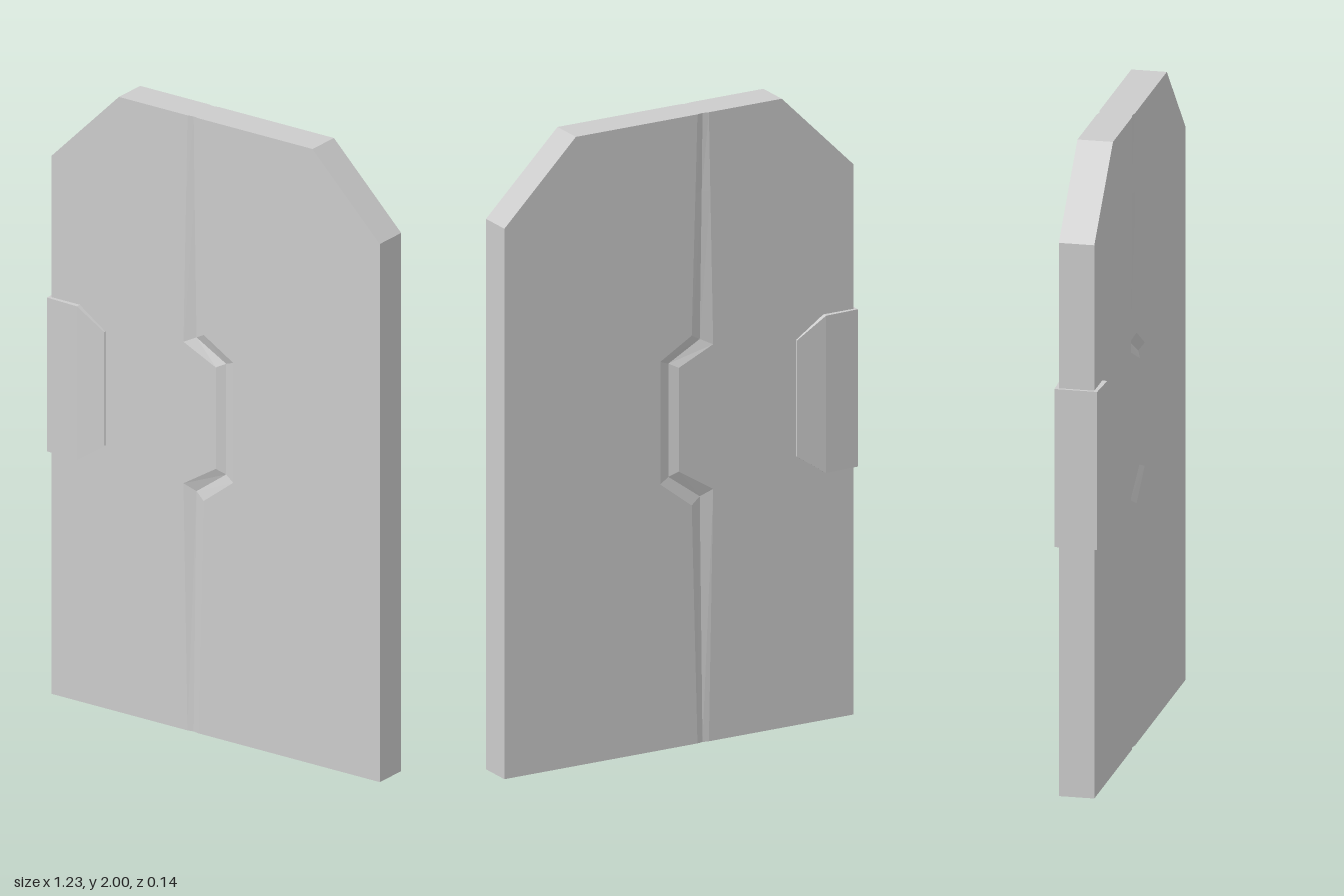
import * as THREE from 'three';

const material = new THREE.MeshStandardMaterial({ color: 0xcccccc, flatShading: true });

// Segmented box whose grid vertices are placed by place(column, row, side), side = +1 front / -1 back
function shapedBox(name, columns, rows, place) {
  const geometry = new THREE.BoxGeometry(1, 1, 1, columns, rows, 1);
  const p = geometry.attributes.position;
  for (let i = 0; i < p.count; i++) {
    const column = Math.round((p.getX(i) + 0.5) * columns);
    const row = Math.round((p.getY(i) + 0.5) * rows);
    p.setXYZ(i, ...place(column, row, Math.sign(p.getZ(i))));
  }
  const flat = geometry.toNonIndexed();
  flat.computeVertexNormals();
  const mesh = new THREE.Mesh(flat, material);
  mesh.name = name;
  return mesh;
}

export function createModel() {
  const group = new THREE.Group();
  group.name = 'door';
  const halfDepth = 0.055;

  // Slab with clipped top corners; each row runs bottom to top
  const outerX = [0.61, 0.61, 0.61, 0.61, 0.61, 0.61, 0.36];
  const outerY = [0, 0.77, 0.85, 1.22, 1.29, 1.75, 2];
  // Shallow V groove with a sideways jog: [x, y] of left edge, valley and right edge
  const groove = [
    [[-0.105, 0], [-0.085, 0], [-0.065, 0]],
    [[-0.12, 0.80], [-0.08, 0.78], [-0.045, 0.76]],
    [[0.0, 0.875], [0.03, 0.86], [0.065, 0.845]],
    [[0.0, 1.205], [0.03, 1.22], [0.065, 1.235]],
    [[-0.12, 1.26], [-0.08, 1.28], [-0.045, 1.30]],
    [[-0.11, 1.75], [-0.084, 1.75], [-0.058, 1.75]],
    [[-0.105, 2], [-0.085, 2], [-0.065, 2]],
  ];
  const grooveDepth = [0.004, 0.012, 0.012, 0.012, 0.012, 0.007, 0.004];

  group.add(shapedBox('doorPanel', 4, 6, (column, row, side) => {
    if (column === 0 || column === 4) {
      return [outerX[row] * (column ? 1 : -1), outerY[row], side * halfDepth];
    }
    const [x, y] = groove[row][column - 1];
    return [x, y, side * (halfDepth - (column === 2 ? grooveDepth[row] : 0))];
  }));

  // Handle plate wrapping the edge: [x, half height, half depth] of each cross-section
  const sections = [[-0.62, 0.25, 0.066], [-0.505, 0.25, 0.071], [-0.41, 0.185, 0.061]];
  group.add(shapedBox('handlePlate', 2, 1, (column, row, side) => {
    const [x, halfHeight, z] = sections[column];
    return [x, 1.04 + (row ? halfHeight : -halfHeight), side * z];
  }));

  return group;
}
